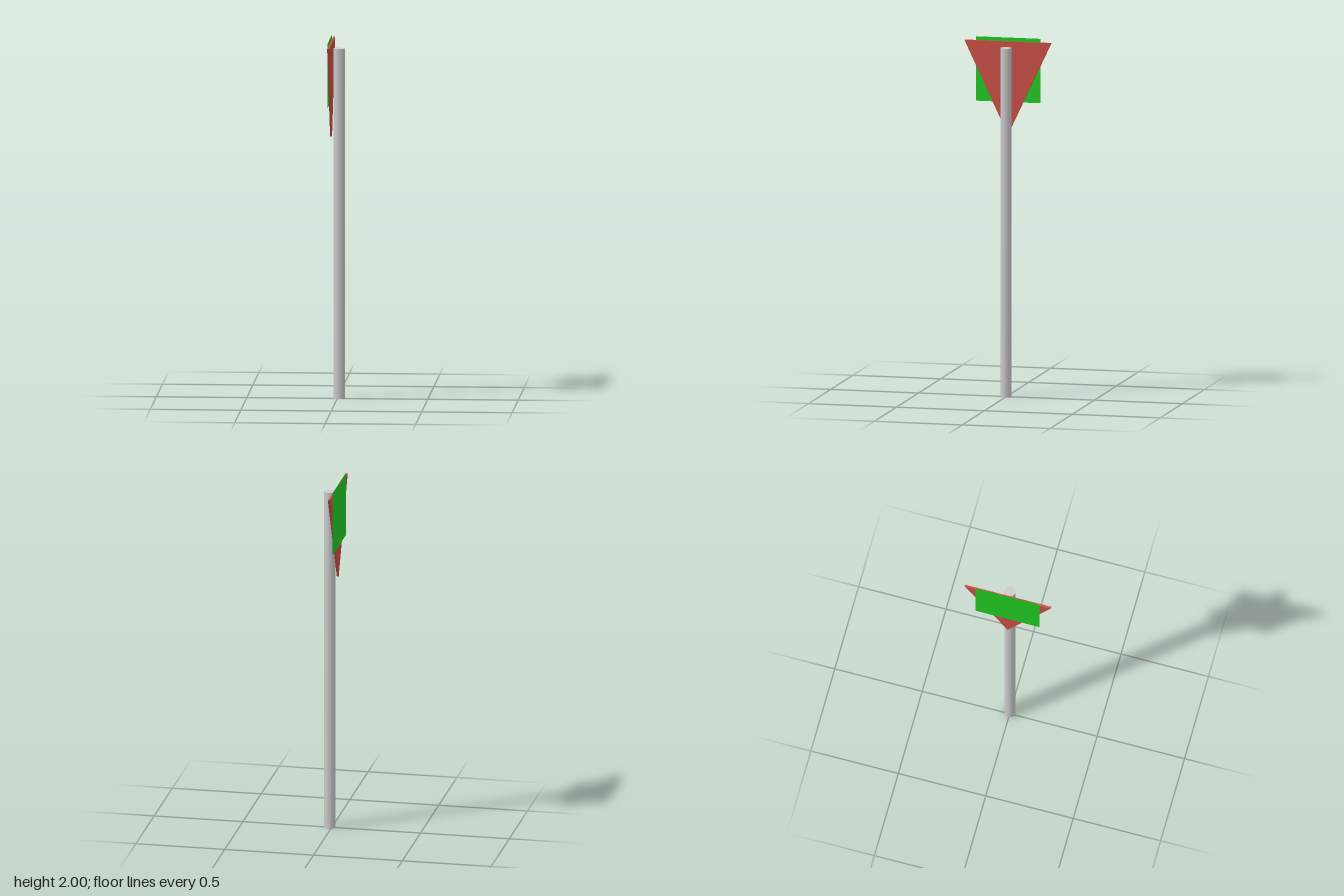
import * as THREE from 'three';

export function createModel() {
  const group = new THREE.Group();
  const add = (name, geometry, color, x, y, side = THREE.FrontSide) => {
    const mesh = new THREE.Mesh(geometry, new THREE.MeshStandardMaterial({ color, side }));
    mesh.name = name;
    mesh.position.set(x, y, 0);
    group.add(mesh);
    return mesh;
  };

  // Eight-sided post with smooth sides
  const height = 1.95;
  add('post', new THREE.CylinderGeometry(0.032, 0.032, height, 8), 0xcccccc, 0.01, height / 2);

  // Thin triangular sign plate, point down, facing along x
  const triangle = new THREE.Shape([
    new THREE.Vector2(-0.247, 1.98),
    new THREE.Vector2(0, 1.46),
    new THREE.Vector2(0.247, 1.98),
  ]);
  const plate = new THREE.ExtrudeGeometry(triangle, { depth: 0.011, bevelEnabled: false });
  plate.rotateY(-Math.PI / 2);
  add('triangularPlate', plate, 0xcc5046, -0.0287, 0);

  // Flat square sign face on the outer side of the plate
  const face = new THREE.PlaneGeometry(0.366, 0.36);
  face.rotateY(-Math.PI / 2);
  add('signFace', face, 0x22cc22, -0.042, 1.82, THREE.DoubleSide);

  return group;
}
